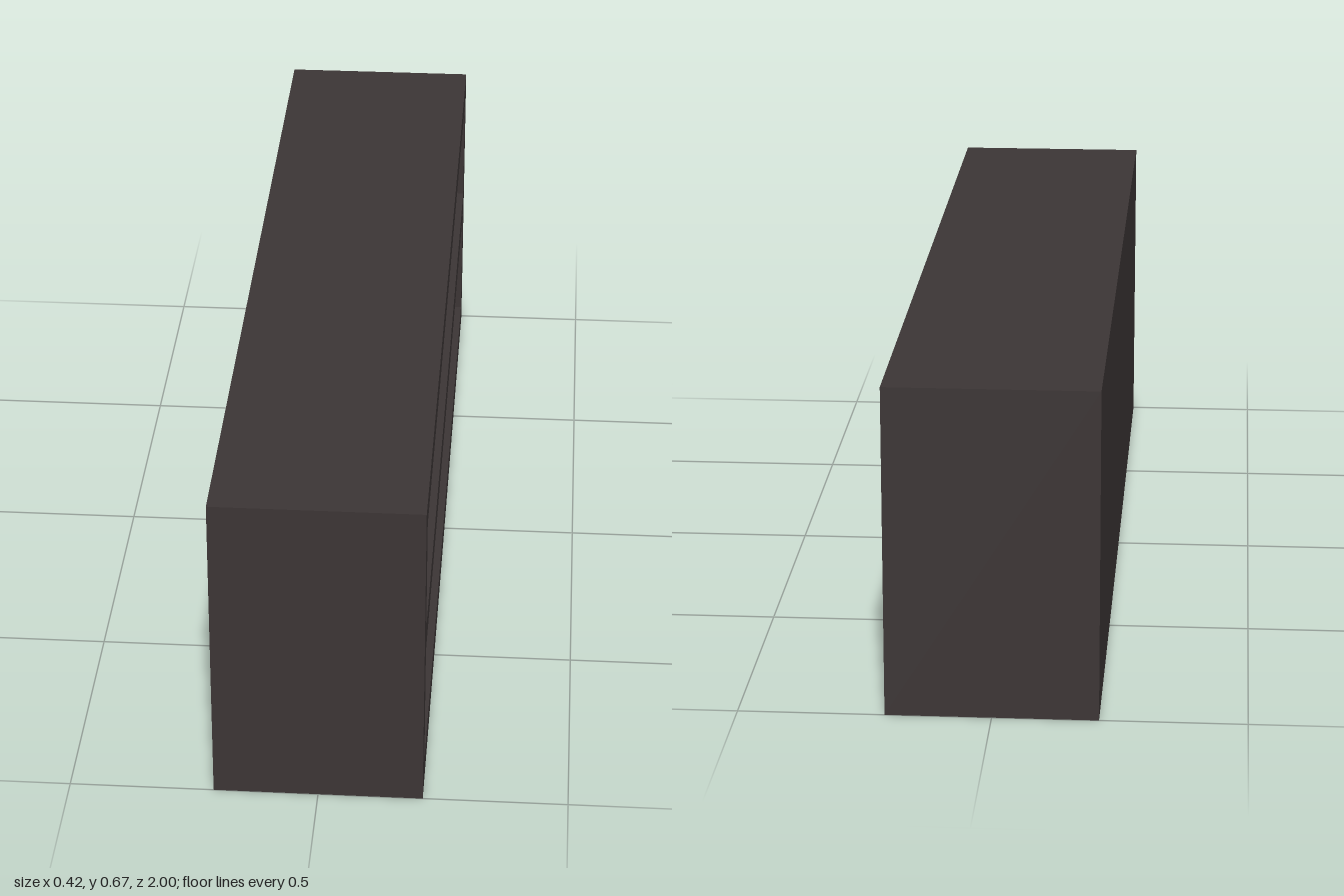
import * as THREE from 'three';

// Long open-fronted shelf unit; openings face +x
export function createModel() {
  const W = 0.42, H = 0.672, L = 2, T = 0.055, BACK = 0.006;
  const darkWood = new THREE.MeshStandardMaterial({ color: 0x3c3535 });
  darkWood.name = 'darkWood';

  const model = new THREE.Group();
  model.name = 'shelfUnit';

  function board(name, w, h, l, x, y, z) {
    const mesh = new THREE.Mesh(new THREE.BoxGeometry(w, h, l), darkWood);
    mesh.name = name;
    mesh.position.set(x, y, z);
    model.add(mesh);
  }

  // Full-height end panels
  for (const s of [1, -1]) {
    board(s > 0 ? 'frontEndPanel' : 'backEndPanel', W, H, T, 0, H / 2, s * (L - T) / 2);
  }

  // Horizontal boards fitted between the ends
  const inner = L - 2 * T;
  const levels = { bottomBoard: T / 2, middleShelf: 0.348, topBoard: H - T / 2 };
  for (const [name, y] of Object.entries(levels)) board(name, W, T, inner, 0, y, 0);

  // Thin panel closing the rear of both compartments
  board('rearPanel', BACK, H - 2 * T, inner, -W / 2 + BACK / 2, H / 2, 0);

  return model;
}
